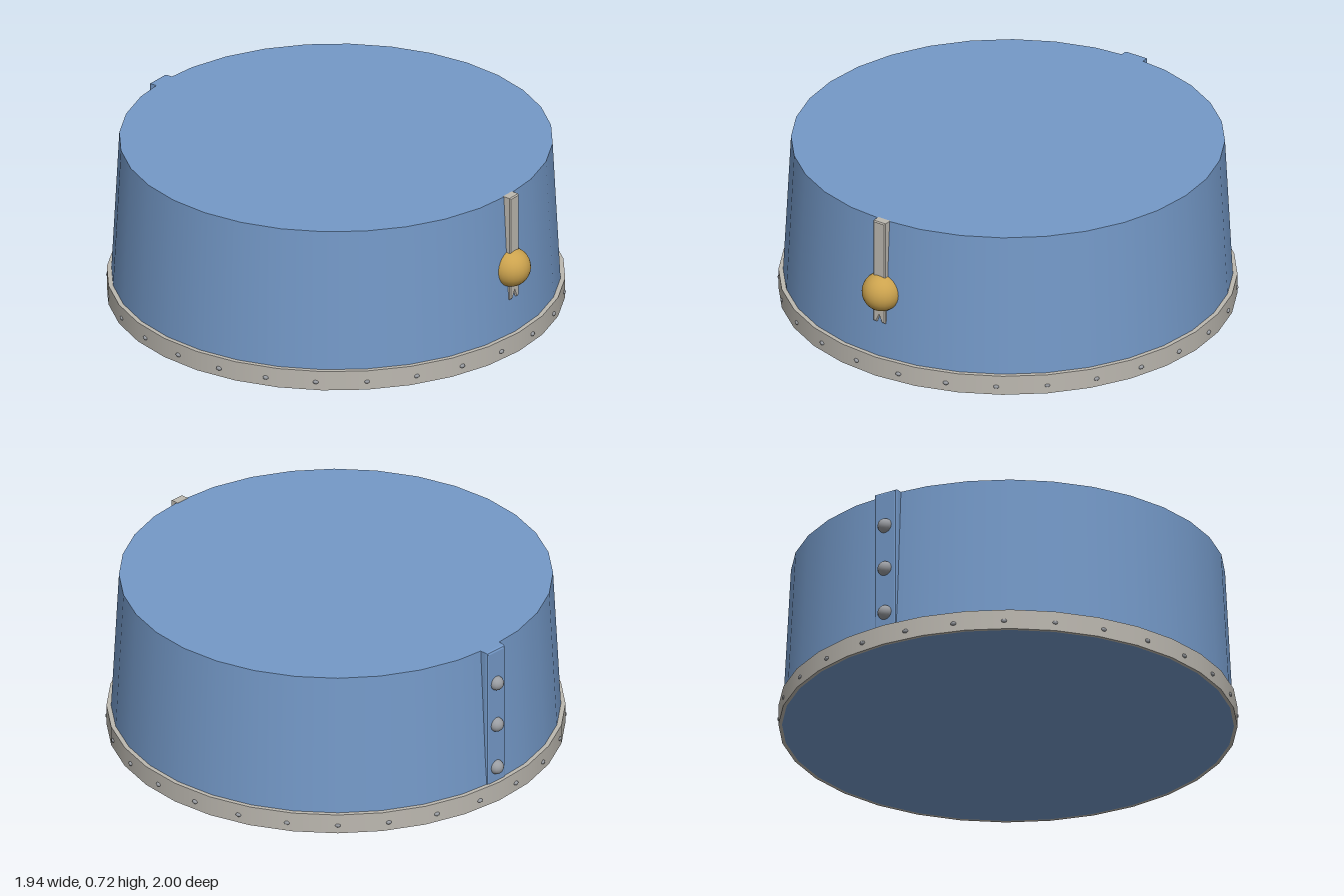
import * as THREE from 'three';

const makeMaterial = (name, color) => {
  const m = new THREE.MeshStandardMaterial({ color });
  m.name = name;
  return m;
};

export function createModel() {
  const blue = makeMaterial('blue cloth', 0x7499c8);
  const grey = makeMaterial('pale grey trim', 0xbcb8b0);
  const steel = makeMaterial('steel', 0x9a9da2);
  const gold = makeMaterial('gold', 0xcca34e);

  const model = new THREE.Group();
  model.name = 'drumCap';
  const cz = -0.015; // centre of the round body
  const add = (name, geometry, material, x, y, z, parent = model) => {
    const mesh = new THREE.Mesh(geometry, material);
    mesh.name = name;
    mesh.position.set(x, y, z);
    parent.add(mesh);
    return mesh;
  };

  // Tapered body, closed at both ends
  add('body', new THREE.CylinderGeometry(0.919, 0.957, 0.72, 32), blue, 0, 0.36, cz);

  // Band around the base: outer wall, flat top and bottom edges
  const bandR = 0.972, bandH = 0.088;
  const band = new THREE.Group();
  band.name = 'baseBand';
  model.add(band);
  add('bandWall', new THREE.CylinderGeometry(bandR, bandR, bandH, 32, 1, true), grey, 0, bandH / 2, cz, band);
  const rim = new THREE.RingGeometry(0.945, bandR, 32);
  add('bandTop', rim, grey, 0, bandH, cz, band).rotation.x = -Math.PI / 2;
  const under = new THREE.RingGeometry(0.957, bandR, 32);
  add('bandUnderside', under, grey, 0, 0, cz, band).rotation.x = Math.PI / 2;

  // Small studs around the band
  const stud = new THREE.SphereGeometry(0.013, 10, 6);
  stud.scale(1, 0.7, 0.7);
  for (let i = 0; i < 28; i++) {
    const a = ((i + 0.5) / 28) * Math.PI * 2;
    const m = add('bandStud', stud, steel, Math.sin(a) * 0.968, 0.037, cz + Math.cos(a) * 0.968, band);
    m.rotation.y = a;
  }

  // Front strap with a notched tail, bevelled edges
  const w = 0.026;
  const strap = new THREE.Shape([
    [-w, 0.25], [-w * 0.6, 0.25], [0, 0.285], [w * 0.6, 0.25], [w, 0.25], [w, 0.716], [-w, 0.716],
  ].map(([x, y]) => new THREE.Vector2(x, y)));
  add('frontStrap', new THREE.ExtrudeGeometry(strap, {
    depth: 0.035, bevelThickness: 0.005, bevelSize: 0.005, bevelSegments: 1,
  }), grey, 0, 0, 0.895);

  // Round ornament on the strap
  add('frontBall', new THREE.SphereGeometry(0.085, 24, 16), gold, 0, 0.385, 0.915);

  // Back seam strip with chamfered edges
  const seam = new THREE.Shape([
    [-0.045, 0.05], [0.045, 0.05], [0.045, 0.71], [-0.045, 0.71],
  ].map(([x, y]) => new THREE.Vector2(x, y)));
  add('backStrip', new THREE.ExtrudeGeometry(seam, {
    depth: 0.055, bevelThickness: 0.012, bevelSize: 0.01, bevelSegments: 2,
  }), blue, 0, 0, -0.956);

  // Domed buttons down the back strip
  const button = new THREE.SphereGeometry(0.032, 16, 10);
  for (const y of [0.155, 0.36, 0.56]) {
    add('backButton', button, steel, 0, y, -0.968);
  }
  return model;
}
